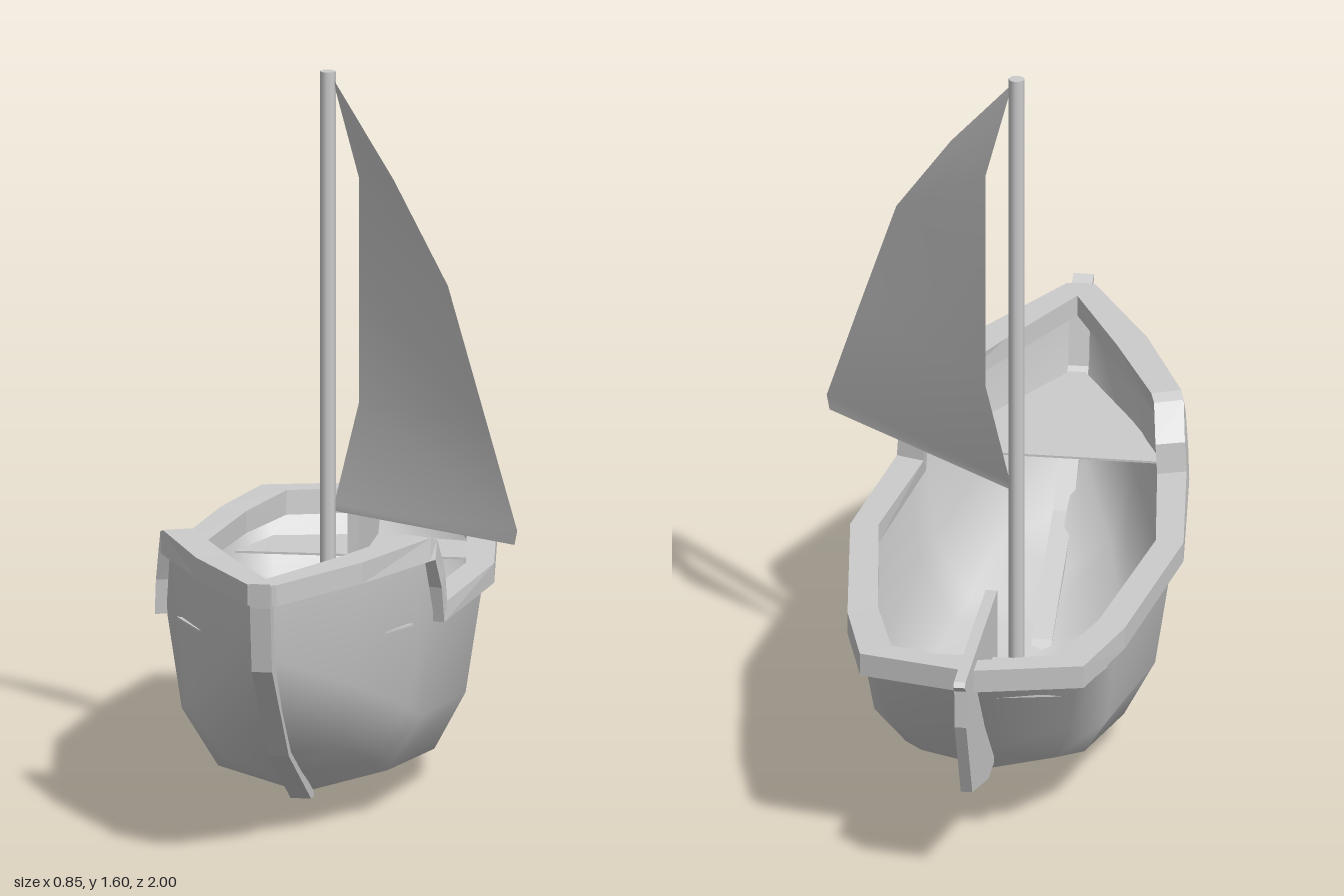
import * as THREE from 'three';

const grey = new THREE.MeshStandardMaterial({ color: 0xcccccc, side: THREE.DoubleSide });
grey.name = 'pale grey';

// Skin over rows of [x, y, z] points; flip reverses the facing, flat gives hard facets
function skin(rows, { flip = false, flat = false } = {}) {
  const n = rows[0].length, index = [];
  for (let i = 0; i < rows.length - 1; i++) {
    for (let j = 0; j < n - 1; j++) {
      const a = i * n + j, b = a + 1, d = a + n, c = d + 1;
      if (flip) index.push(a, c, d, a, b, c);
      else index.push(a, d, c, a, c, b);
    }
  }
  let g = new THREE.BufferGeometry();
  g.setAttribute('position', new THREE.Float32BufferAttribute(rows.flat(2), 3));
  g.setIndex(index);
  if (flat) g = g.toNonIndexed();
  g.computeVertexNormals();
  return g;
}

const outline = (pts) => new THREE.Shape(pts.map(([a, b]) => new THREE.Vector2(a, b)));

// Upright plate on the centre line from a (z, y) outline
function uprightPlate(pts, t) {
  const g = new THREE.ExtrudeGeometry(outline(pts), { depth: t, bevelEnabled: false });
  return g.translate(0, 0, -t / 2).rotateY(-Math.PI / 2);
}

// Level sheet from an (x, z) outline at height y
function levelSheet(pts, y) {
  const g = new THREE.ExtrudeGeometry(outline(pts), { depth: 0.005, bevelEnabled: false });
  return g.rotateX(Math.PI / 2).translate(0, y, 0);
}

export function createModel() {
  const boat = new THREE.Group();
  boat.name = 'sailingBoat';
  const add = (name, geometry) => {
    const mesh = new THREE.Mesh(geometry, grey);
    mesh.name = name;
    boat.add(mesh);
    return mesh;
  };

  // Hull: one open shell from half sections, stern to bow: sheer, chine, bilge, keel
  const sections = [
    [[0, 0.46, -0.83], [0, 0.3, -0.69], [0, 0.17, -0.55], [0, 0.1, -0.47]],
    [[0.23, 0.46, -0.77], [0.2, 0.29, -0.66], [0.15, 0.16, -0.53], [0, 0.1, -0.47]],
    [[0.29, 0.46, -0.55], [0.26, 0.24, -0.5], [0.2, 0.13, -0.42], [0, 0.08, -0.4]],
    [[0.35, 0.46, -0.07], [0.31, 0.2, -0.07], [0.24, 0.07, -0.07], [0, 0, -0.07]],
    [[0.3, 0.46, 0.36], [0.27, 0.23, 0.33], [0.19, 0.1, 0.32], [0, 0.045, 0.32]],
    [[0.285, 0.61, 0.41], [0.25, 0.26, 0.4], [0.17, 0.13, 0.38], [0, 0.072, 0.38]],
    [[0.168, 0.61, 0.67], [0.16, 0.36, 0.65], [0.12, 0.2, 0.57], [0, 0.13, 0.52]],
    [[0.02, 0.61, 0.95], [0.02, 0.47, 0.93], [0.02, 0.33, 0.81], [0, 0.21, 0.69]],
  ];
  const ring = (half) => [...half, ...half.slice(0, 3).reverse().map(([x, y, z]) => [-x, y, z])];
  add('hull', skin(sections.map(ring)));

  // Rail stations: half width, then z and y of the underside and of the top
  const stations = [
    [0, -0.83, 0.45, -0.835, 0.505],
    [0.23, -0.77, 0.45, -0.775, 0.505],
    [0.29, -0.55, 0.45, -0.55, 0.5],
    [0.353, -0.07, 0.45, -0.07, 0.495],
    [0.304, 0.36, 0.45, 0.318, 0.49],
    [0.3, 0.37, 0.53, 0.32, 0.56],
    [0.29, 0.4, 0.6, 0.37, 0.64],
    [0.28, 0.42, 0.6, 0.4, 0.65],
    [0.166, 0.67, 0.6, 0.67, 0.648],
    [0.012, 0.935, 0.6, 0.935, 0.648],
    [0, 0.94, 0.6, 0.94, 0.648],
  ];
  for (const side of [1, -1]) {
    const rows = stations.map(([w, zb, yb, zt, yt]) => {
      const xi = side * Math.max(w - 0.042, 0), xo = side * (w ? w + 0.021 : 0);
      const inner = [xi, yb, zb * 0.96];
      return [inner, [xi, yt, zt * 0.96], [xo, yt, zt * 1.03], [xo, yb, zb * 1.03], inner];
    });
    add(side > 0 ? 'leftRail' : 'rightRail', skin(rows, { flip: side < 0, flat: true }));
  }

  // Stem post wrapping the bow
  add('stem', uprightPlate([
    [1, 0.657], [0.993, 0.6], [0.965, 0.45], [0.7, 0.205], [0.35, 0.037], [0.3, 0.032],
    [0.33, 0.062], [0.67, 0.225], [0.915, 0.47], [0.94, 0.6], [0.95, 0.645], [0.975, 0.645],
  ], 0.046));

  // Small decks at both ends, reaching out to the hull sides
  add('bowDeck', levelSheet([[-0.265, 0.44], [0.265, 0.44], [0.155, 0.66], [0.015, 0.91], [-0.015, 0.91], [-0.155, 0.66]], 0.46));
  add('sternDeck', levelSheet([[-0.275, -0.55], [-0.215, -0.73], [0, -0.775], [0.215, -0.73], [0.275, -0.55]], 0.405));

  // Rudder plate through the stern
  add('rudder', uprightPlate([
    [-0.48, 0.535], [-0.48, 0.27], [-0.53, 0.27], [-0.53, 0.14], [-0.62, 0.14], [-0.88, 0.22],
    [-0.98, 0.42], [-0.985, 0.51], [-1, 0.525], [-0.99, 0.535],
  ], 0.026));

  // Mast
  const mast = add('mast', new THREE.CylinderGeometry(0.018, 0.018, 1.59, 8));
  mast.position.set(0, 0.805, -0.075);

  // Sail swung out to the left: luff and leech points from peak to foot
  add('sail', skin([
    [[0.01, 1.585, -0.075], [0.015, 1.58, -0.07]],
    [[0.07, 1.36, -0.075], [0.165, 1.385, 0.05]],
    [[0.07, 1.12, -0.075], [0.303, 1.17, 0.16]],
    [[0.07, 0.85, -0.075], [0.4, 0.88, 0.235]],
    [[0.015, 0.62, -0.075], [0.477, 0.645, 0.288]],
    [[0.015, 0.602, -0.075], [0.47, 0.612, 0.283]],
  ]));

  boat.position.x = -0.05;
  const model = new THREE.Group();
  model.add(boat);
  return model;
}
